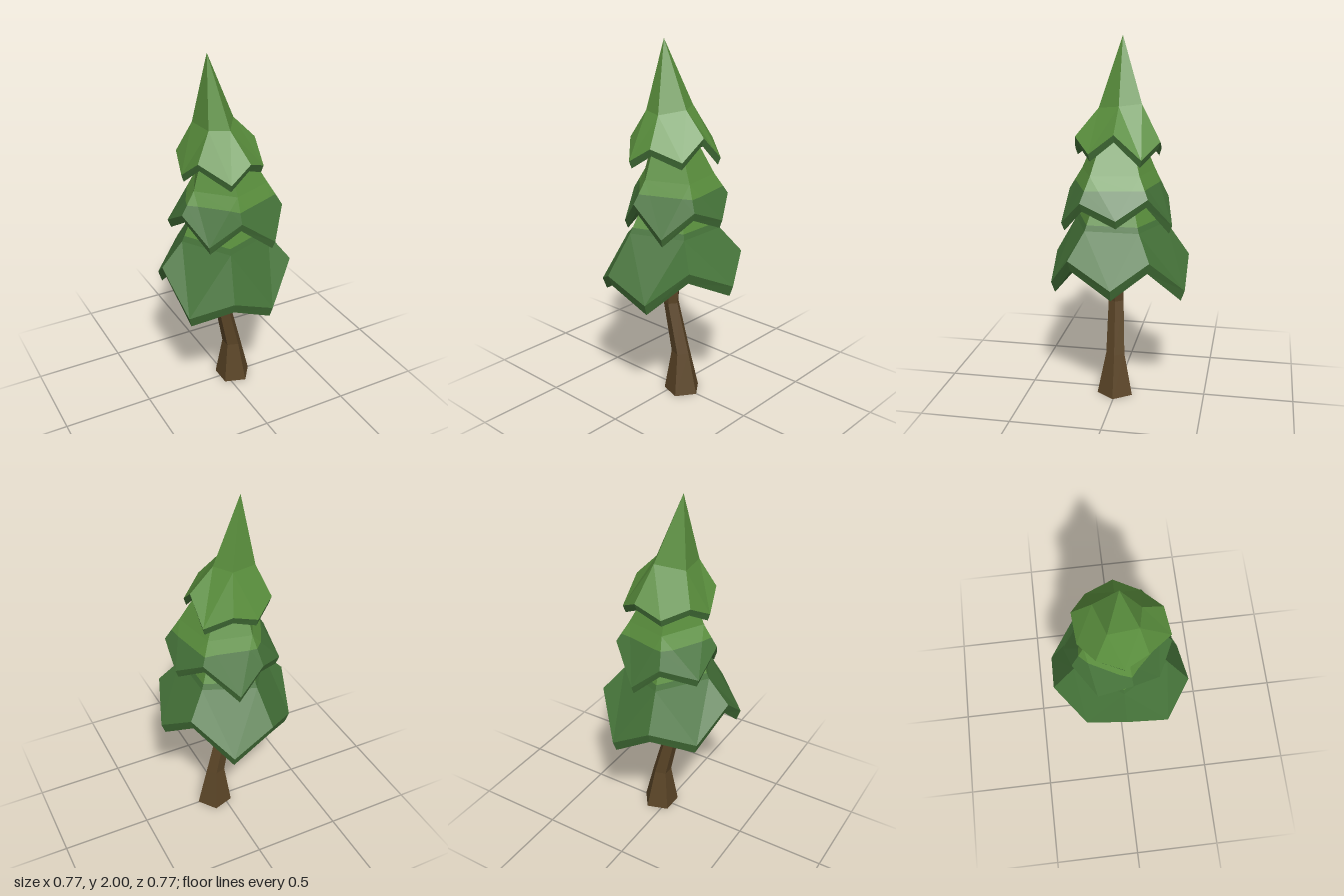
import * as THREE from 'three';

const mat = (name, hex) => {
  const m = new THREE.MeshStandardMaterial({ color: hex, flatShading: true });
  m.name = name;
  return m;
};

const meshFrom = (name, tris, material) => {
  const g = new THREE.BufferGeometry().setFromPoints(tris.flat());
  g.computeVertexNormals();
  const m = new THREE.Mesh(g, material);
  m.name = name;
  return m;
};

// Part of a triangle above (sign 1) or below (sign -1) a height, as triangles
function clip(tri, y, sign) {
  const poly = [];
  tri.forEach((a, i) => {
    const b = tri[(i + 1) % 3];
    const da = (a.y - y) * sign, db = (b.y - y) * sign;
    if (da >= 0) poly.push(a);
    if (da * db < 0) poly.push(a.clone().lerp(b, da / (da - db)));
  });
  return poly.slice(2).map((p, i) => [poly[0], poly[i + 1], p]);
}

// Rims run counter-clockwise from above, alternating raised notches and drooping tips
const TIERS = [
  {
    name: 'lowerTier', split: 1.02, apex: [-0.02, 1.5, 0], midY: 0.99, midScale: 0.67, roof: 1.0, drop: 0.06,
    rim: [[0.287, 0.85, 0.22], [0.382, 0.73, -0.028], [0.285, 0.86, -0.217], [0.11, 0.66, -0.388],
      [-0.12, 0.8, -0.385], [-0.318, 0.7, -0.22], [-0.385, 0.86, 0], [-0.345, 0.66, 0.245],
      [-0.148, 0.77, 0.385], [0.1, 0.66, 0.36]],
  },
  {
    name: 'middleTier', split: 1.22, apex: [-0.06, 1.75, 0], midY: 1.29, midScale: 0.73, roof: 1.3, drop: 0.045,
    rim: [[0.265, 1.16, 0.155], [0.29, 1.08, -0.04], [0.2, 1.18, -0.195], [0.035, 1.0, -0.305],
      [-0.115, 1.13, -0.265], [-0.28, 1.06, -0.145], [-0.28, 1.17, 0.045], [-0.2, 1.03, 0.2],
      [-0.05, 1.17, 0.28], [0.15, 1.02, 0.283]],
  },
  {
    name: 'topTier', split: 0, apex: [-0.098, 2, -0.01], roof: 1.65, drop: 0.04,
    rim: [[0.182, 1.51, -0.01], [0.178, 1.38, -0.155], [0.05, 1.46, -0.237], [-0.098, 1.4, -0.225],
      [-0.22, 1.46, -0.14], [-0.257, 1.38, 0], [-0.222, 1.48, 0.125], [-0.1, 1.39, 0.258],
      [0.025, 1.47, 0.23], [0.158, 1.4, 0.13]],
    mids: [[0.055, 1.64, -0.015], [0, 1.65, -0.13], [-0.155, 1.63, -0.075], [-0.14, 1.63, 0.085], [-0.03, 1.62, 0.11]],
  },
];

function makeTier(t, light, dark) {
  const V = (p) => new THREE.Vector3(...p);
  const apex = V(t.apex), rim = t.rim.map(V), n = rim.length;
  const cx = rim.reduce((s, p) => s + p.x, 0) / n, cz = rim.reduce((s, p) => s + p.z, 0) / n;
  const scaled = (p, k, y) => new THREE.Vector3(cx + (p.x - cx) * k, y, cz + (p.z - cz) * k);
  const mids = t.mids ? t.mids.map(V) : rim.filter((_, i) => i % 2 === 0).map((p) => scaled(p, t.midScale, t.midY));
  const lip = rim.map((p) => scaled(p, 0.945, p.y - t.drop));
  const roof = new THREE.Vector3(cx, t.roof, cz);

  // Outer skin: steep crown, then three facets around each tip
  const skin = [], under = [];
  mids.forEach((m, i) => {
    const m2 = mids[(i + 1) % mids.length];
    const a = rim[2 * i], tip = rim[2 * i + 1], b = rim[(2 * i + 2) % n];
    skin.push([apex, m, m2], [m, tip, m2], [m, a, tip], [m2, tip, b]);
  });
  // Thick rim and hollow underside
  rim.forEach((p, i) => {
    const j = (i + 1) % n;
    under.push([p, lip[i], rim[j]], [rim[j], lip[i], lip[j]], [roof, lip[j], lip[i]]);
  });

  const g = new THREE.Group();
  g.name = t.name;
  const upper = skin.flatMap((s) => clip(s, t.split, 1));
  const lower = skin.flatMap((s) => clip(s, t.split, -1));
  g.add(meshFrom(t.name + 'Crown', upper, light));
  if (lower.length) g.add(meshFrom(t.name + 'Skirt', lower, dark));
  g.add(meshFrom(t.name + 'Underside', under, dark));
  return g;
}

// Bent five-sided trunk from stacked rings: x, y, z, radius
function makeTrunk(material) {
  const rings = [[0.05, 0, 0.003, 0.105], [0.04, 0.24, 0.004, 0.055], [-0.028, 0.535, 0.012, 0.045],
    [-0.01, 0.7, 0.01, 0.04], [-0.01, 1.05, 0.005, 0.035]].map(([x, y, z, r]) =>
    Array.from({ length: 5 }, (_, i) => {
      const a = (i * Math.PI * 2) / 5;
      return new THREE.Vector3(x + r * Math.cos(a), y, z - r * Math.sin(a));
    }));
  const tris = [];
  for (let k = 0; k < rings.length - 1; k++) {
    for (let i = 0; i < 5; i++) {
      const j = (i + 1) % 5, lo = rings[k], hi = rings[k + 1];
      tris.push([lo[i], lo[j], hi[j]], [lo[i], hi[j], hi[i]]);
    }
  }
  const base = rings[0];
  for (let i = 1; i < 4; i++) tris.push([base[0], base[i + 1], base[i]]);
  return meshFrom('trunk', tris, material);
}

export function createModel() {
  const light = mat('lightGreen', 0x5a8f3d);
  const dark = mat('darkGreen', 0x457339);
  const bark = mat('barkBrown', 0x5b4527);
  const tree = new THREE.Group();
  tree.name = 'tree';
  tree.add(makeTrunk(bark));
  TIERS.forEach((t) => tree.add(makeTier(t, light, dark)));
  return tree;
}
